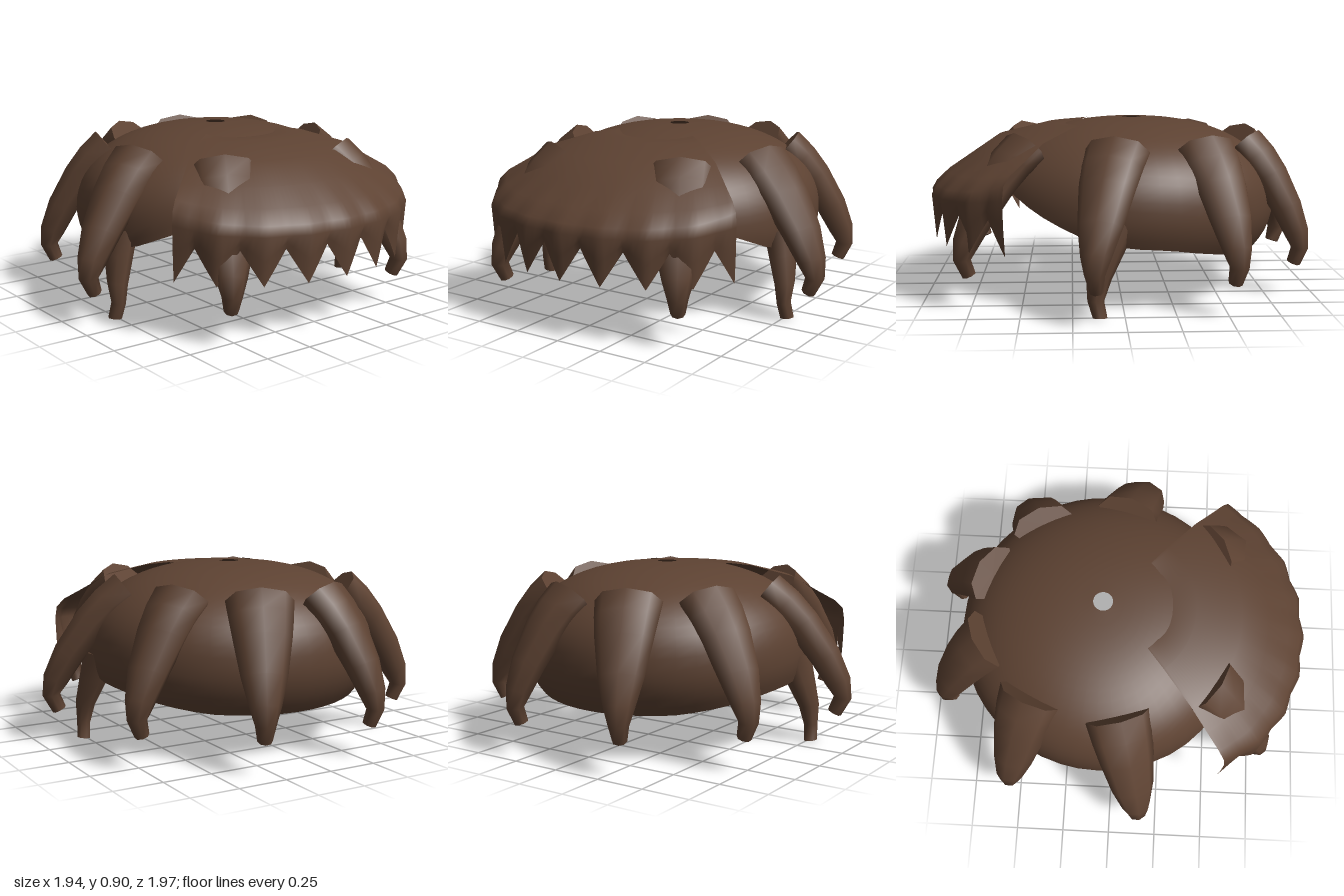
import * as THREE from 'three';

const hair = new THREE.MeshStandardMaterial({ color: 0x5d4232, side: THREE.DoubleSide });
hair.name = 'brownHair';

// Piecewise linear lookup in a short list of [input, output] pairs
function lookup(table, v) {
  for (let i = 1; i < table.length; i++) {
    const [a, fa] = table[i - 1], [b, fb] = table[i];
    if (v <= b) return fa + (fb - fa) * Math.max(0, (v - a) / (b - a));
  }
  return table[table.length - 1][1];
}

// Smooth mesh from rows of points; wrapped rows close on themselves
function skin(name, rows, wrap) {
  const n = rows[0].length, index = [];
  for (let i = 0; i < rows.length - 1; i++) {
    for (let j = 0; j < (wrap ? n : n - 1); j++) {
      const k = (j + 1) % n;
      const a = i * n + j, b = i * n + k, c = a + n, d = b + n;
      index.push(a, c, b, b, c, d);
    }
  }
  const g = new THREE.BufferGeometry();
  g.setAttribute('position', new THREE.Float32BufferAttribute(rows.flat(2), 3));
  g.setIndex(index);
  g.computeVertexNormals();
  const mesh = new THREE.Mesh(g, hair);
  mesh.name = name;
  return mesh;
}

// Open dome with a small crown hole and a rim that rises towards the front
function makeCap() {
  const rim = [[-1, 0.24], [-0.8, 0.25], [-0.2, 0.33], [0.1, 0.345], [0.4, 0.4], [0.65, 0.49], [0.85, 0.58], [1, 0.62]];
  const e = 2 / 2.3, rows = [];
  for (let i = 0; i <= 20; i++) {
    const row = [];
    for (let j = 0; j < 48; j++) {
      const a = (j / 48) * Math.PI * 2, c = Math.cos(a);
      const edge = lookup(rim, c) - 0.48;
      const end = edge > 0 ? Math.acos(Math.pow(edge / 0.44, 1 / e)) : Math.PI / 2 + Math.asin(-edge / 0.48);
      const p = 0.044 + (end - 0.044) * (i / 20);
      const up = Math.cos(p);
      const y = 0.48 + (up > 0 ? 0.44 * Math.pow(up, e) : 0.48 * up);
      const r = 0.755 * (up > 0 ? Math.pow(Math.sin(p), e) : Math.sin(p));
      row.push([r * Math.sin(a), y, -0.07 + r * c]);
    }
    rows.push(row);
  }
  return skin('cap', rows, true);
}

// Fan-shaped fringe ending in pointed teeth
function makeFringe() {
  // radius at centre, radius at sides, height at centre, height at sides
  const profile = [
    [0.3, 0.3, 0.885, 0.9], [0.43, 0.43, 0.885, 0.885], [0.67, 0.65, 0.825, 0.825],
    [0.81, 0.79, 0.73, 0.745], [0.93, 0.89, 0.65, 0.69], [1.0, 0.935, 0.585, 0.645], [1.025, 0.945, 0.54, 0.58],
  ];
  const rows = profile.map(() => []);
  rows.push([], []);
  const cols = 64, limit = THREE.MathUtils.degToRad(50);
  for (let j = 0; j <= cols; j++) {
    const u = (j / cols) * 2 - 1, a = u * limit, side = Math.pow(Math.abs(u), 4);
    const saw = Math.abs(u) * 4;
    const notch = 1 - Math.abs((saw % 1) * 2 - 1);
    const at = (r, y) => [r * Math.sin(a), y, -0.03 + r * Math.cos(a)];
    profile.forEach(([r0, r1, y0, y1], i) => {
      const ripple = 0.018 * notch * Math.max(0, i - 3) / 3;
      rows[i].push(at(r0 + (r1 - r0) * side - ripple, y0 + (y1 - y0) * side));
    });
    const low = 0.305 + 0.17 * notch;
    const r = 1.015 - 0.075 * side - 0.02 * notch;
    rows[profile.length].push(at(r, (low + 0.54 + 0.04 * side) / 2));
    rows[profile.length + 1].push(at(r - 0.01, low));
  }
  return skin('fringe', rows, false);
}

// Tapered lock: stations are [x, y, z, half width, half thickness]
function makeLock(name, stations, lateral) {
  const pts = stations.map(s => new THREE.Vector3(s[0], s[1], s[2]));
  const last = pts.length - 1, rows = [];
  pts.forEach((p, i) => {
    const tangent = pts[Math.min(i + 1, last)].clone().sub(pts[Math.max(i - 1, 0)]).normalize();
    const normal = new THREE.Vector3().crossVectors(lateral, tangent).normalize();
    const ring = [];
    for (let j = 0; j < 8; j++) {
      const a = (j / 8) * Math.PI * 2;
      ring.push(p.clone().addScaledVector(lateral, Math.cos(a) * stations[i][3])
        .addScaledVector(normal, Math.sin(a) * stations[i][4]).toArray());
    }
    const centre = ring.map(() => p.toArray());
    if (i === 0) rows.push(centre, ring);
    rows.push(ring);
    if (i === last) rows.push(ring, centre);
  });
  return skin(name, rows, true);
}

// Arched lock sweeping outward from the crown and down to a curled tip
function archedLock(name, side, [bx, bz], [tx, tz]) {
  // reach from base to tip, height, half width, half thickness
  const arch = [
    [0, 0.79, 0.165, 0.1], [0.24, 0.72, 0.155, 0.095], [0.46, 0.63, 0.14, 0.09], [0.76, 0.47, 0.11, 0.08],
    [0.94, 0.34, 0.075, 0.065], [1.0, 0.26, 0.05, 0.045], [0.9, 0.18, 0.036, 0.036],
  ];
  const stations = arch.map(([s, y, w, t]) => [side * (bx + (tx - bx) * s), y, bz + (tz - bz) * s, w, t]);
  const lateral = new THREE.Vector3(tz - bz, 0, -side * (tx - bx)).normalize();
  return makeLock(name, stations, lateral);
}

export function createModel() {
  const model = new THREE.Group();
  model.name = 'hairpiece';
  model.add(makeCap(), makeFringe());

  for (const side of [1, -1]) {
    const label = side > 0 ? 'left' : 'right';
    model.add(
      archedLock(label + 'SideLock', side, [0.55, 0.03], [0.925, 0.15]),
      archedLock(label + 'RearSideLock', side, [0.47, -0.41], [0.775, -0.54]),
      archedLock(label + 'BackLock', side, [0.18, -0.655], [0.315, -0.925]),
      archedLock(label + 'FrontLock', side, [0.36, 0.48], [0.54, 0.79]),
    );
    // Sideburn hanging from the inside of the rim
    const burn = [
      [0.69, 0.46, 0.06, 0.12, 0.075], [0.72, 0.33, 0.09, 0.09, 0.065], [0.75, 0.2, 0.125, 0.06, 0.05],
      [0.755, 0.1, 0.14, 0.04, 0.035], [0.765, 0.02, 0.12, 0.035, 0.035],
    ].map(([x, ...rest]) => [side * x, ...rest]);
    model.add(makeLock(label + 'Sideburn', burn, new THREE.Vector3(0, 0, -side)));
  }
  return model;
}
